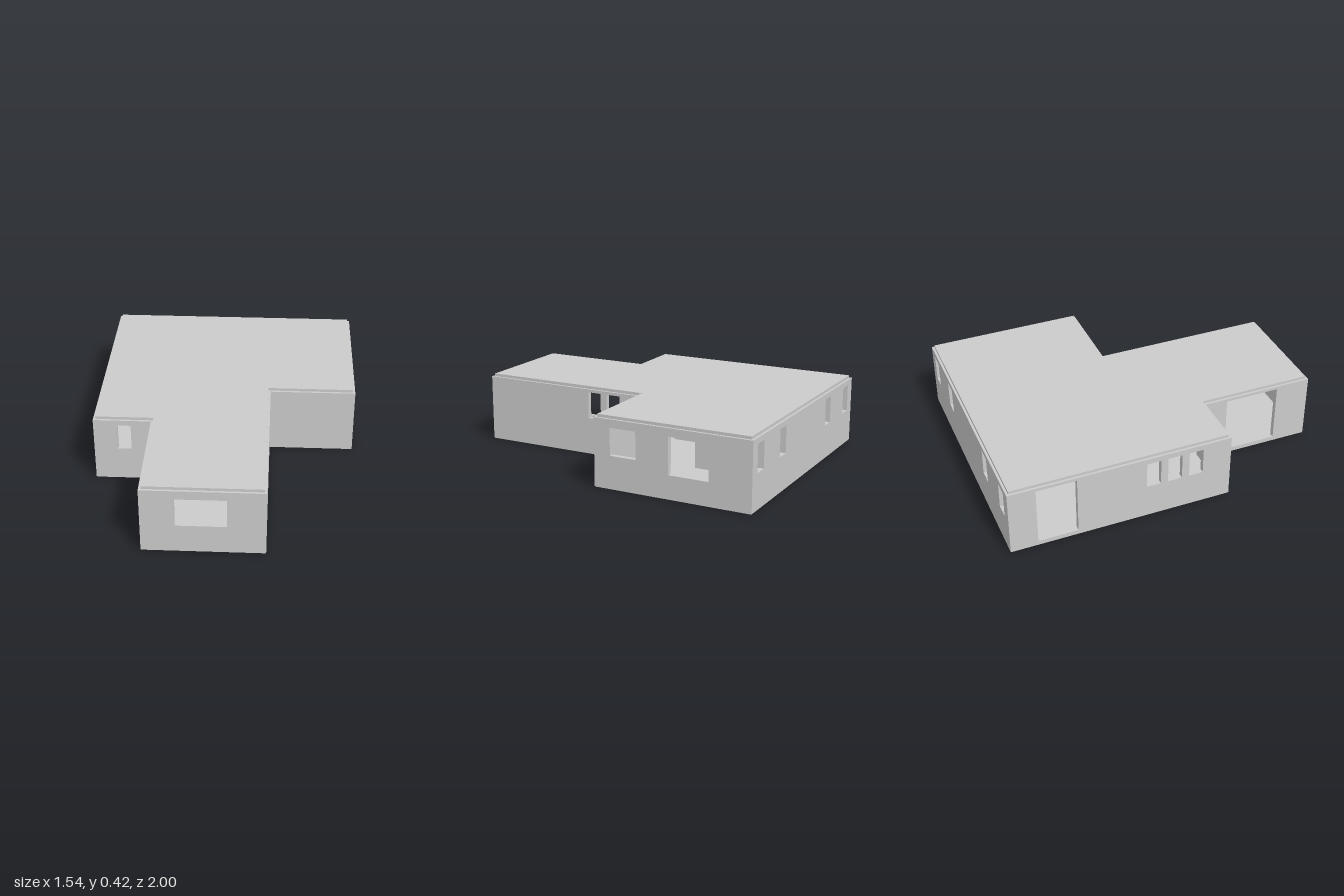
import * as THREE from 'three';

const material = new THREE.MeshStandardMaterial({ color: 0xcccccc, flatShading: true });
const T = 0.03;       // wall thickness
const BASE = 0.004;   // wall foot
const TOP = 0.403;    // wall head

// Horizontal slab following the house footprint, pulled in by "inset"
function slab(name, inset, y0, y1) {
  const i = inset;
  const corners = [
    [-0.77 + i, 0.32 - i], [-0.43 + i, 0.32 - i], [-0.43 + i, 1 - i], [0.26 - i, 1 - i],
    [0.26 - i, -0.05 - i], [0.77 - i, -0.05 - i], [0.77 - i, -1 + i], [-0.77 + i, -1 + i],
  ];
  const shape = new THREE.Shape(corners.map(([x, z]) => new THREE.Vector2(x, -z)));
  const geometry = new THREE.ExtrudeGeometry(shape, { depth: y1 - y0, bevelEnabled: false });
  geometry.rotateX(-Math.PI / 2).translate(0, y0, 0);
  const mesh = new THREE.Mesh(geometry, material);
  mesh.name = name;
  return mesh;
}

// Upright panel from a to b with openings [a0, a1, y0, y1]
function panel(name, a, b, openings, depth = T) {
  const rect = (P, x0, x1, y0, y1) => {
    const p = new P();
    p.moveTo(x0, y0).lineTo(x1, y0).lineTo(x1, y1).lineTo(x0, y1).closePath();
    return p;
  };
  const shape = rect(THREE.Shape, a, b, BASE, TOP);
  for (const o of openings) shape.holes.push(rect(THREE.Path, ...o));
  const mesh = new THREE.Mesh(
    new THREE.ExtrudeGeometry(shape, { depth, bevelEnabled: false }), material);
  mesh.name = name;
  return mesh;
}

// Wall running along x, its rear face at zMin
function wallAlongX(name, x0, x1, zMin, openings = []) {
  const mesh = panel(name, x0, x1, openings);
  mesh.position.z = zMin;
  return mesh;
}

// Wall running along z, its +x face at xMax
function wallAlongZ(name, z0, z1, xMax, openings = [], depth = T) {
  const mesh = panel(name, z0, z1, openings, depth);
  mesh.rotation.y = -Math.PI / 2;
  mesh.position.x = xMax;
  return mesh;
}

export function createModel() {
  const house = new THREE.Group();
  house.name = 'house';

  house.add(slab('floor', 0.003, 0, 0.02));
  house.add(slab('roof', 0.014, 0.395, 0.42));

  // Small windows share one height
  const small = (start) => [start, start + 0.085, 0.21, 0.37];

  // Walls facing front and back
  house.add(
    wallAlongX('frontWall', -0.43, 0.26, 1 - T, [[-0.24, 0.045, 0.175, 0.35]]),
    wallAlongX('frontRightWall', -0.77, -0.43, 0.32 - T, [[-0.63, -0.55, 0.21, 0.37]]),
    wallAlongX('frontLeftWall', 0.26, 0.77, -0.05 - T),
    wallAlongX('backWall', -0.77, 0.77, -1, [-0.7, -0.392, 0.315, 0.62].map(small)),
  );

  // Walls facing the sides
  house.add(
    wallAlongZ('leftWall', -1 + T, -0.05 - T, 0.77,
      [[-0.75, -0.51, 0.14, 0.355], [-0.31, -0.15, 0.195, 0.355]]),
    wallAlongZ('leftWingWall', -0.05 - T, 1 - T, 0.26,
      [[0, 0.17, 0.03, 0.385], [0.21, 0.295, 0.225, 0.385]]),
    wallAlongZ('rightWall', -1 + T, 0.32 - T, -0.77 + T,
      [[-0.84, -0.605, 0.03, 0.385], ...[-0.195, -0.067, 0.062].map(small)]),
    wallAlongZ('rightWingWall', 0.32 - T, 1 - T, -0.43 + T, [[0.46, 0.79, 0.03, 0.385]]),
  );

  // Inner partitions
  house.add(
    wallAlongZ('hallPartition', -0.255, -0.05 - T, 0.26, [], 0.02),
    wallAlongZ('bedroomPartition', -1 + T, -0.42, 0.26, [], 0.02),
    wallAlongZ('middlePartition', -1 + T, -0.05, -0.2, [], 0.02),
  );
  return house;
}
